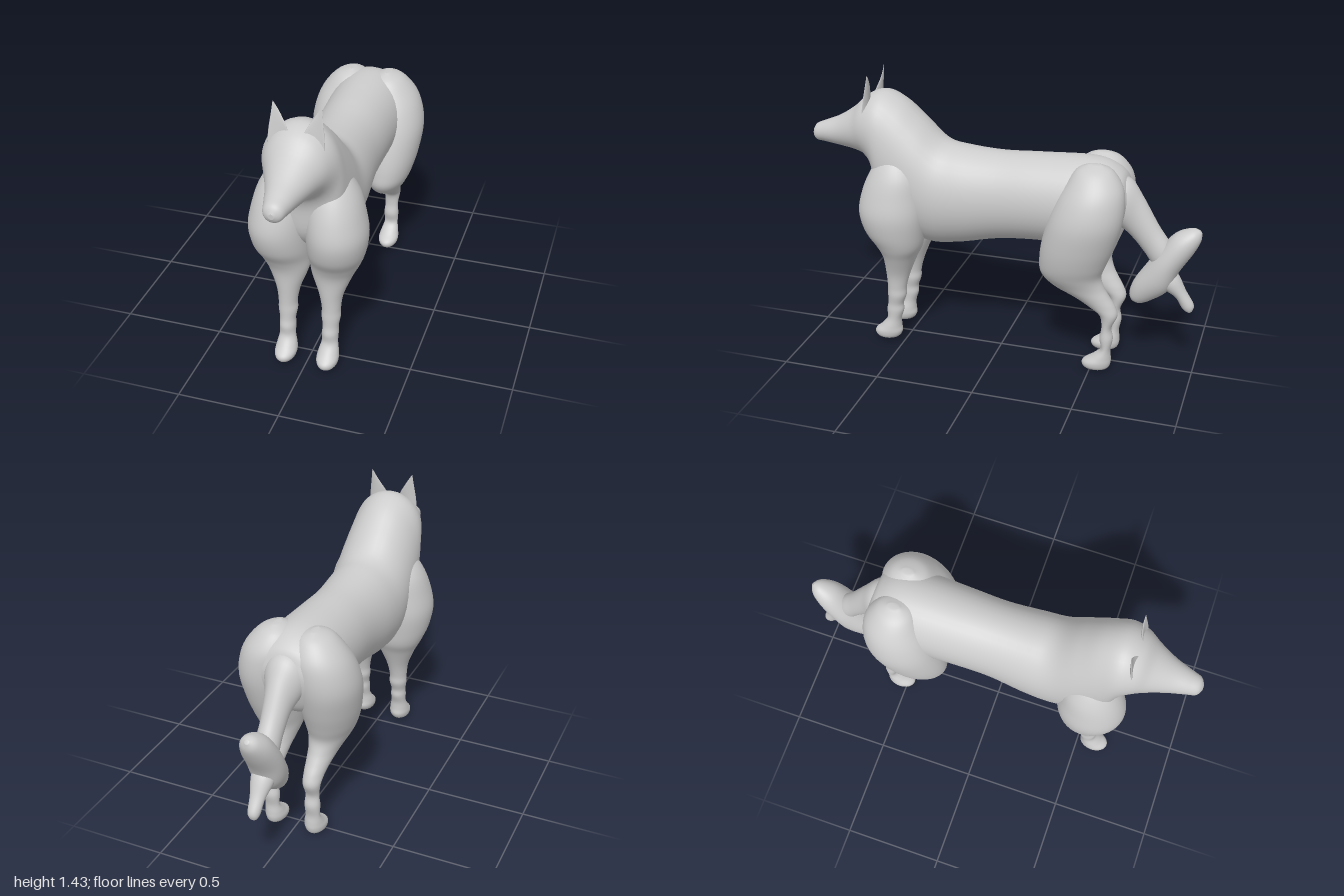
import * as THREE from 'three';

const coat = new THREE.MeshStandardMaterial({ color: 0xcccccc });
coat.name = 'grey coat';

// Smooth value between four neighbours
function spline(a, b, c, d, t) {
  const m = (c - a) / 2, n = (d - b) / 2, t2 = t * t, t3 = t2 * t;
  return (2 * t3 - 3 * t2 + 1) * b + (t3 - 2 * t2 + t) * m + (3 * t2 - 2 * t3) * c + (t3 - t2) * n;
}

// Closed skin through oval rings. Each ring: [z, y of one rim, z, y of the opposite rim, centre x, half width]
function loft(rings, side = 1, around = 36, steps = 6) {
  const rows = [], last = rings.length - 1;
  const at = (i) => rings[Math.max(0, Math.min(last, i))];
  for (let i = 0; i < last; i++) {
    for (let s = 0; s < steps; s++) {
      rows.push(rings[0].map((_, k) => spline(at(i - 1)[k], at(i)[k], at(i + 1)[k], at(i + 2)[k], s / steps)));
    }
  }
  rows.push(rings[last]);

  const pos = [], index = [];
  for (const [za, ya, zb, yb, x, rx] of rows) {
    for (let j = 0; j < around; j++) {
      const a = (j / around) * Math.PI * 2, c = Math.cos(a) / 2;
      pos.push(side * (x + Math.sin(a) * Math.max(rx, 0.001)), (ya + yb) / 2 + c * (ya - yb), (za + zb) / 2 + c * (za - zb));
    }
  }
  for (let i = 0; i < rows.length - 1; i++) {
    for (let j = 0; j < around; j++) {
      const k = (j + 1) % around, p = i * around, q = p + around;
      index.push(p + j, q + j, p + k, p + k, q + j, q + k);
    }
  }
  // End caps
  const end = (rows.length - 1) * around;
  for (let j = 1; j < around - 1; j++) index.push(0, j, j + 1, end, end + j + 1, end + j);

  // Turn the skin outwards if its volume is negative
  let volume = 0;
  const v = (i) => new THREE.Vector3().fromArray(pos, i * 3);
  for (let i = 0; i < index.length; i += 3) {
    volume += v(index[i]).dot(v(index[i + 1]).cross(v(index[i + 2])));
  }
  if (volume < 0) index.reverse();

  const geometry = new THREE.BufferGeometry();
  geometry.setAttribute('position', new THREE.Float32BufferAttribute(pos, 3));
  geometry.setIndex(index);
  geometry.computeVertexNormals();
  return geometry;
}

// Leg and ear rings lie level: [y, back z, front z, inner x, outer x]
const level = (rings) => rings.map(([y, z0, z1, x0, x1]) => [z1, y, z0, y, (x0 + x1) / 2, (x1 - x0) / 2]);

// Rump, trunk, neck, head and snout in one skin
const bodyRings = [
  [-0.655, 0.92, -0.655, 0.90, 0, 0.01],
  [-0.64, 0.98, -0.63, 0.80, 0, 0.13],
  [-0.60, 1.05, -0.58, 0.70, 0, 0.185],
  [-0.48, 1.10, -0.46, 0.65, 0, 0.20],
  [-0.20, 1.09, -0.20, 0.645, 0, 0.19],
  [0.00, 1.08, 0.00, 0.625, 0, 0.185],
  [0.18, 1.09, 0.20, 0.58, 0, 0.20],
  [0.29, 1.115, 0.36, 0.565, 0, 0.205],
  [0.40, 1.215, 0.50, 0.62, 0, 0.205],
  [0.50, 1.30, 0.62, 0.75, 0, 0.195],
  [0.60, 1.34, 0.65, 0.92, 0, 0.18],
  [0.69, 1.31, 0.69, 0.99, 0, 0.155],
  [0.76, 1.245, 0.75, 1.015, 0, 0.122],
  [0.85, 1.185, 0.84, 1.027, 0, 0.085],
  [0.93, 1.15, 0.93, 1.037, 0, 0.06],
  [0.98, 1.128, 0.98, 1.043, 0, 0.044],
  [1.00, 1.095, 1.00, 1.07, 0, 0.013],
];

const foreLegRings = level([
  [1.07, 0.48, 0.52, 0.10, 0.13],
  [1.03, 0.43, 0.59, 0.05, 0.19],
  [0.95, 0.38, 0.645, 0.01, 0.24],
  [0.85, 0.365, 0.685, -0.003, 0.27],
  [0.75, 0.36, 0.70, -0.005, 0.286],
  [0.65, 0.37, 0.675, -0.004, 0.272],
  [0.57, 0.385, 0.625, 0.0, 0.243],
  [0.50, 0.42, 0.597, 0.01, 0.208],
  [0.40, 0.46, 0.587, 0.047, 0.168],
  [0.32, 0.482, 0.582, 0.063, 0.156],
  [0.27, 0.485, 0.583, 0.062, 0.156],
  [0.22, 0.502, 0.584, 0.070, 0.148],
  [0.18, 0.502, 0.592, 0.068, 0.149],
  [0.13, 0.517, 0.592, 0.068, 0.148],
  [0.085, 0.518, 0.625, 0.057, 0.156],
  [0.05, 0.515, 0.662, 0.053, 0.16],
  [0.02, 0.535, 0.655, 0.065, 0.15],
  [0.00, 0.585, 0.615, 0.10, 0.115],
]);

const hindLegRings = level([
  [1.10, -0.52, -0.46, 0.08, 0.11],
  [1.07, -0.58, -0.40, 0.02, 0.18],
  [1.00, -0.63, -0.355, -0.01, 0.243],
  [0.92, -0.645, -0.315, -0.01, 0.28],
  [0.82, -0.638, -0.28, -0.005, 0.297],
  [0.70, -0.605, -0.25, 0.0, 0.284],
  [0.60, -0.568, -0.238, 0.012, 0.26],
  [0.53, -0.545, -0.245, 0.025, 0.232],
  [0.47, -0.56, -0.30, 0.042, 0.20],
  [0.42, -0.587, -0.395, 0.053, 0.178],
  [0.37, -0.617, -0.475, 0.06, 0.162],
  [0.32, -0.63, -0.54, 0.066, 0.154],
  [0.25, -0.603, -0.553, 0.074, 0.144],
  [0.19, -0.612, -0.545, 0.069, 0.148],
  [0.13, -0.602, -0.553, 0.072, 0.146],
  [0.085, -0.605, -0.51, 0.06, 0.154],
  [0.05, -0.605, -0.462, 0.053, 0.16],
  [0.02, -0.59, -0.465, 0.065, 0.15],
  [0.00, -0.54, -0.50, 0.10, 0.115],
]);

const earRings = level([
  [1.24, 0.655, 0.672, 0.035, 0.132],
  [1.31, 0.651, 0.664, 0.036, 0.127],
  [1.37, 0.647, 0.656, 0.068, 0.119],
  [1.435, 0.643, 0.645, 0.109, 0.111],
]);

// Tail stem, crossing tuft and small lower prong
const tailStemRings = [
  [-0.56, 1.03, -0.56, 0.74, 0, 0.12],
  [-0.645, 1.005, -0.61, 0.76, 0, 0.10],
  [-0.71, 0.92, -0.67, 0.71, 0, 0.068],
  [-0.79, 0.785, -0.73, 0.64, 0, 0.057],
  [-0.86, 0.68, -0.79, 0.56, 0, 0.055],
  [-0.88, 0.58, -0.84, 0.54, 0, 0.02],
];
const tailTuftRings = [
  [-0.985, 0.785, -1.0, 0.77, 0, 0.01],
  [-0.945, 0.787, -0.998, 0.725, 0, 0.045],
  [-0.87, 0.75, -0.965, 0.655, 0, 0.075],
  [-0.80, 0.66, -0.905, 0.555, 0, 0.088],
  [-0.74, 0.57, -0.86, 0.45, 0, 0.083],
  [-0.685, 0.48, -0.78, 0.385, 0, 0.06],
  [-0.665, 0.41, -0.725, 0.357, 0, 0.035],
  [-0.675, 0.37, -0.69, 0.36, 0, 0.008],
];
const tailProngRings = [
  [-0.82, 0.60, -0.80, 0.47, 0, 0.06],
  [-0.895, 0.54, -0.85, 0.445, 0, 0.055],
  [-0.945, 0.45, -0.895, 0.415, 0, 0.037],
  [-0.985, 0.385, -0.93, 0.36, 0, 0.03],
  [-0.982, 0.35, -0.955, 0.342, 0, 0.018],
  [-0.972, 0.342, -0.966, 0.34, 0, 0.004],
];

export function createModel() {
  const model = new THREE.Group();
  model.name = 'animal';
  const add = (name, geometry) => {
    const mesh = new THREE.Mesh(geometry, coat);
    mesh.name = name;
    model.add(mesh);
  };

  add('body', loft(bodyRings));
  add('tailStem', loft(tailStemRings));
  add('tailTuft', loft(tailTuftRings));
  add('tailProng', loft(tailProngRings));

  for (const [label, side] of [['left', 1], ['right', -1]]) {
    add(label + 'ForeLeg', loft(foreLegRings, side));
    add(label + 'HindLeg', loft(hindLegRings, side));

    // Cup the ear so its edges curl forwards
    const ear = loft(earRings, side, 20);
    const p = ear.attributes.position;
    for (let i = 0; i < p.count; i++) {
      const bend = Math.abs(p.getX(i)) - 0.085;
      p.setZ(i, p.getZ(i) + 6 * bend * bend);
    }
    ear.computeVertexNormals();
    add(label + 'Ear', ear);
  }
  return model;
}
